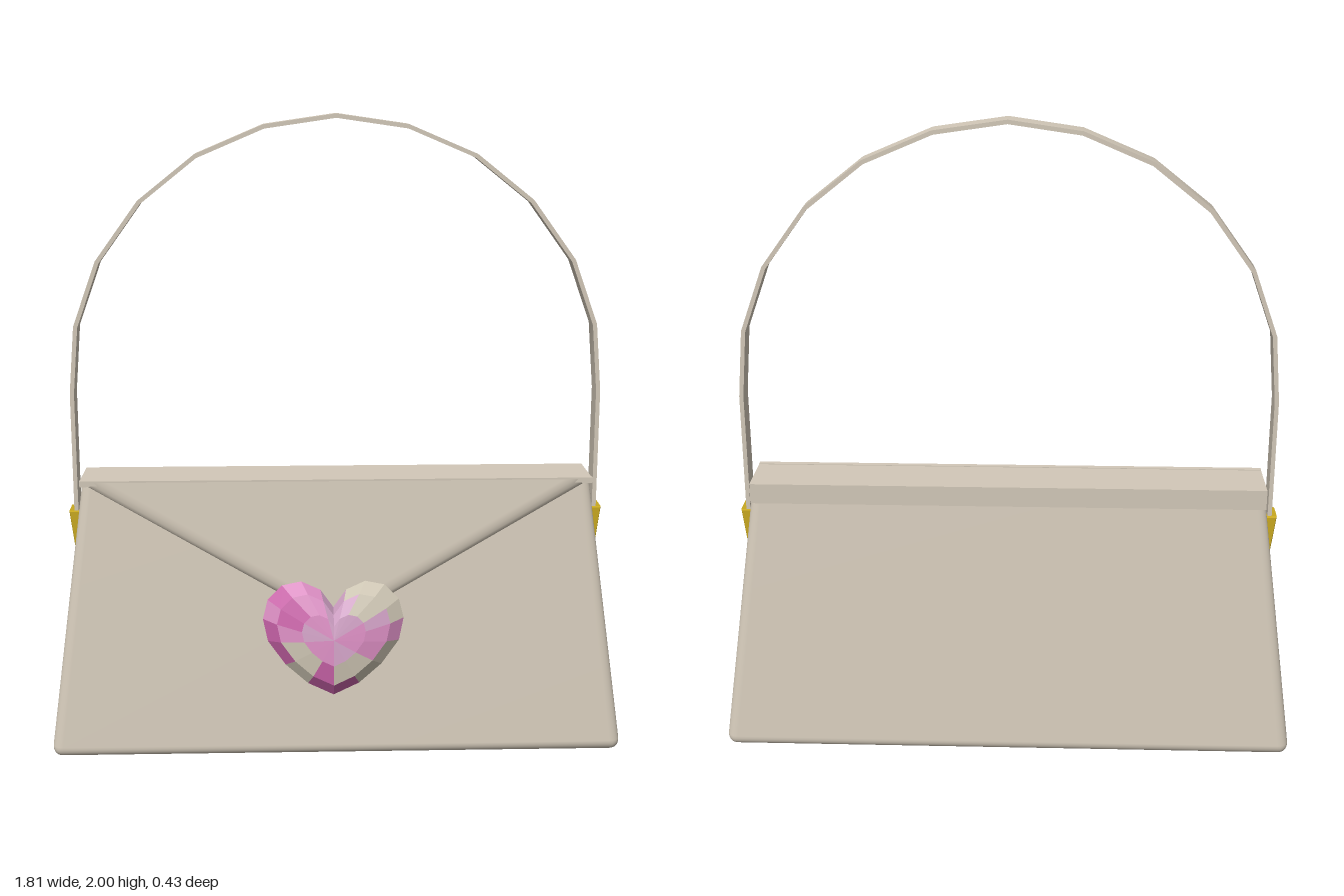
import * as THREE from 'three';
import { mergeVertices, toCreasedNormals } from 'three/addons/utils/BufferGeometryUtils.js';
import { RoundedBoxGeometry } from 'three/addons/geometries/RoundedBoxGeometry.js';

const material = (name, color) => {
  const m = new THREE.MeshStandardMaterial({ color });
  m.name = name;
  return m;
};
const leather = material('beige leather', 0xd2c8b8);
const brass = material('brass', 0xc8a820);
const gemColours = {
  B: material('pale gem facet', 0xcdc5b3),
  P: material('pink gem facet', 0xd88cc0),
  M: material('magenta gem facet', 0xc862a8),
  L: material('lilac gem facet', 0xcfa0c4),
};
const MID_Z = -0.03;

function part(name, geometry, mat, x = 0, y = 0, z = 0) {
  const mesh = new THREE.Mesh(geometry, mat);
  mesh.name = name;
  mesh.position.set(x, y, z);
  return mesh;
}

// Rounded box narrowed towards the top, with its top cut level
function bodyGeometry() {
  const height = 0.91, top = 0.875;
  let g = new RoundedBoxGeometry(1.82, height, 0.37, 4, 0.035);
  g.translate(0, height / 2, 0);
  const p = g.attributes.position;
  for (let i = 0; i < p.count; i++) {
    const y = Math.min(p.getY(i), top), t = y / top;
    p.setXYZ(i, p.getX(i) * (1 - 0.127 * t), y, p.getZ(i) * (1 - 0.595 * t));
  }
  g.deleteAttribute('normal');
  g.deleteAttribute('uv');
  g = mergeVertices(g, 1e-5);
  g.computeVertexNormals();
  return g;
}

// Triangular flap with its two lower edges rounded over
function flapGeometry() {
  const positions = [], index = [], steps = 4;
  for (let k = 0; k <= steps; k++) {
    const a = (k / steps) * Math.PI / 2;
    const s = 1 - 0.11 * (1 - Math.cos(a)), z = 0.02 * Math.sin(a);
    positions.push(-0.8 * s, 0, z, 0, -0.46 * s, z, 0.8 * s, 0, z);
    if (k === steps) break;
    for (let j = 0; j < 2; j++) {
      const o = k * 3 + j;
      index.push(o, o + 1, o + 4, o, o + 4, o + 3);
    }
  }
  index.push(steps * 3, steps * 3 + 1, steps * 3 + 2);
  const g = new THREE.BufferGeometry();
  g.setAttribute('position', new THREE.Float32BufferAttribute(positions, 3));
  g.setIndex(index);
  g.computeVertexNormals();
  return g;
}

// Flat ribbon bent over an arch
function strapGeometry() {
  const half = [[0.826, 0.7], [0.826, 1.15], [0.808, 1.36], [0.735, 1.56],
    [0.602, 1.742], [0.428, 1.88], [0.22, 1.968]];
  const line = [...half, [0, 2], ...half.slice().reverse().map(([x, y]) => [-x, y])]
    .map(([x, y]) => new THREE.Vector2(x, y));
  const inner = line.map((p, i) => {
    const a = line[Math.max(i - 1, 0)], b = line[Math.min(i + 1, line.length - 1)];
    const d = b.clone().sub(a).normalize();
    return new THREE.Vector2(p.x - d.y * 0.013, p.y + d.x * 0.013);
  });
  const g = new THREE.ExtrudeGeometry(new THREE.Shape([...line, ...inner.reverse()]),
    { depth: 0.07, bevelEnabled: false });
  g.translate(0, 0, -0.035);
  return toCreasedNormals(g, 0.6);
}

// Wedge-shaped strap holder
function claspGeometry() {
  const shape = new THREE.Shape([[0.802, 0.775], [0.816, 0.662], [0.828, 0.662], [0.842, 0.775]]
    .map(([x, y]) => new THREE.Vector2(x, y)));
  const g = new THREE.ExtrudeGeometry(shape, {
    depth: 0.07, bevelSize: 0.003, bevelOffset: -0.003, bevelThickness: 0.008, bevelSegments: 1,
  });
  g.translate(0, 0, -0.035);
  return g;
}

// Faceted heart: rings shrink towards the front and the back
function gem() {
  const right = [[0, 0.095], [0.04, 0.15], [0.1, 0.177], [0.16, 0.165], [0.205, 0.12],
    [0.22, 0.06], [0.205, -0.01], [0.15, -0.085], [0.08, -0.145], [0, -0.182]];
  const outline = [...right, ...right.slice(1, -1).reverse().map(([x, y]) => [-x, y])];
  const n = outline.length;
  const ring = (s, z) => outline.map(([x, y]) => [x * s, y * s, z]);
  const girdle = ring(1, 0), crown = ring(0.8, 0.036), table = ring(0.45, 0.052);
  const tip = ring(0, 0.056), under = ring(0.75, -0.03), base = ring(0, -0.042);
  const layers = [
    [girdle, crown, 'LBBBBPBBMMBMMPMPPL', false],
    [crown, table, 'LLBBLPPBBMBBPMMPPL', false],
    [table, tip, 'LLLLPPPLLPPPLLPPPL', false],
    [girdle, under, 'PBBMBPBBBBBBPBMBBP', true],
    [under, base, 'BBPPBBPBBBBPBBPPBB', true],
  ];
  const facets = { B: [], P: [], M: [], L: [] };
  for (const [a, b, colours, back] of layers) {
    for (let i = 0; i < n; i++) {
      const j = (i + 1) % n;
      const tris = [[a[j], a[i], b[i]]];
      if (b !== tip && b !== base) tris.push([a[j], b[i], b[j]]);
      for (const t of tris) facets[colours[i]].push(...(back ? t.reverse() : t).flat());
    }
  }
  const group = new THREE.Group();
  group.name = 'heartGem';
  for (const key of Object.keys(facets)) {
    const g = new THREE.BufferGeometry();
    g.setAttribute('position', new THREE.Float32BufferAttribute(facets[key], 3));
    g.computeVertexNormals();
    group.add(part('gemFacets' + key, g, gemColours[key]));
  }
  group.position.set(-0.014, 0.4, 0.157);
  group.rotation.x = -0.155;
  return group;
}

export function createModel() {
  const model = new THREE.Group();
  model.name = 'handbag';
  model.add(part('body', bodyGeometry(), leather, 0, 0, MID_Z));

  // Lid plate, rear lip and front flap
  model.add(part('lid', new THREE.BoxGeometry(1.6, 0.018, 0.18), leather, 0, 0.874, -0.032));
  model.add(part('rearLip', new THREE.BoxGeometry(1.6, 0.064, 0.016), leather, 0, 0.851, -0.114));
  model.add(part('frontRidge', new THREE.BoxGeometry(1.6, 0.016, 0.018), leather, 0, 0.877, 0.056));
  const flap = part('flap', flapGeometry(), leather, 0, 0.878, 0.048);
  flap.rotation.x = -0.125;
  model.add(flap);

  // Handle and its holders
  model.add(part('strap', strapGeometry(), leather, 0, 0, MID_Z));
  for (const side of [1, -1]) {
    const clasp = part(side > 0 ? 'leftClasp' : 'rightClasp', claspGeometry(), brass, 0, 0, MID_Z);
    if (side < 0) clasp.rotation.y = Math.PI;
    model.add(clasp);
  }
  model.add(gem());
  return model;
}
